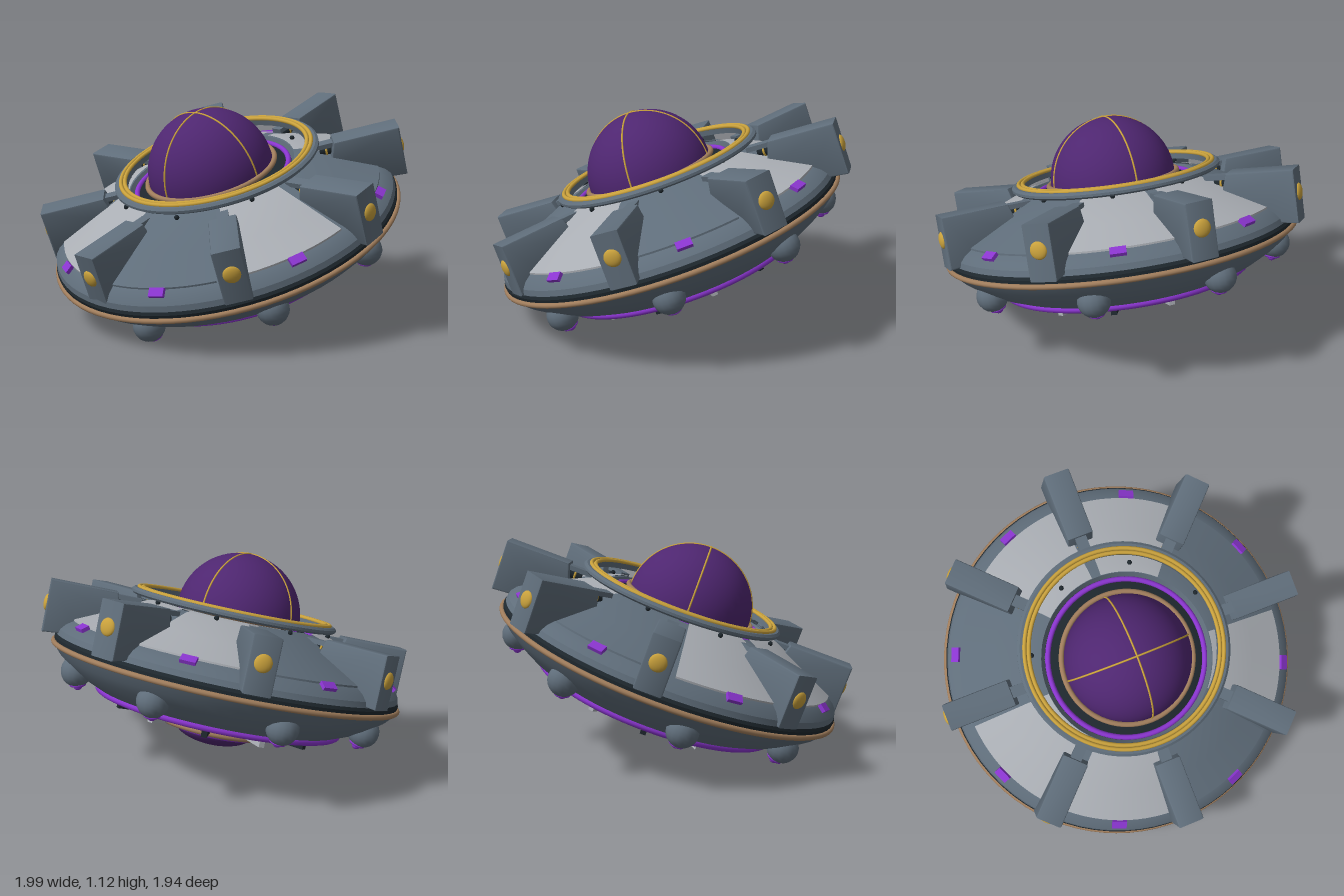
import * as THREE from 'three';
import { toCreasedNormals } from 'three/addons/utils/BufferGeometryUtils.js';

const mat = (name, color) => {
  const m = new THREE.MeshStandardMaterial({ color });
  m.name = name;
  return m;
};

export function createModel() {
  const slate = mat('slate grey', 0x5f6d7a);
  const light = mat('light grey', 0xa9adb3);
  const dark = mat('near black', 0x1e272d);
  const violet = mat('bright violet', 0x8a35cf);
  const plum = mat('dark plum', 0x4e2670);
  const gold = mat('gold', 0xc9a13c);
  const tan = mat('tan copper', 0xa07d5c);

  const model = new THREE.Group();
  model.name = 'saucer';
  const ship = new THREE.Group();
  ship.name = 'tiltedShip';
  ship.position.set(0, 0.464, -0.008);
  ship.rotation.x = THREE.MathUtils.degToRad(20);
  model.add(ship);

  const add = (name, geo, material, parent = ship) => {
    const m = new THREE.Mesh(geo, material);
    m.name = name;
    parent.add(m);
    return m;
  };
  // profile points are [radius, height], from the bottom centre outwards and up
  const lathe = (name, pts, material, parent = ship, seg = 72, start = 0, len = Math.PI * 2) =>
    add(name, toCreasedNormals(new THREE.LatheGeometry(
      pts.map(p => new THREE.Vector2(p[0], p[1])), seg, start, len), 0.4), material, parent);
  const ring = (name, R, tube, h, material, parent = ship) => {
    const m = add(name, new THREE.TorusGeometry(R, tube, 10, 80), material, parent);
    m.rotation.x = Math.PI / 2;
    m.position.y = h;
    return m;
  };
  // group whose +x axis points outwards at angle a, measured from the front
  const spoke = (name, a, parent = ship) => {
    const g = new THREE.Group();
    g.name = name;
    g.rotation.y = a - Math.PI / 2;
    parent.add(g);
    return g;
  };
  const STEP = Math.PI / 4;

  // Hull
  lathe('lowerHull', [[0.38, -0.245], [0.5, -0.236], [0.66, -0.2], [0.76, -0.155],
    [0.84, -0.105], [0.9, -0.058], [0.94, -0.012], [0.94, 0.016]], slate);
  lathe('rimBand', [[0.94, 0.008], [0.943, 0.03], [0.93, 0.052]], dark);
  lathe('upperHull', [[0.937, 0.046], [0.93, 0.075], [0.905, 0.105], [0.868, 0.13],
    [0.69, 0.212], [0.5, 0.298], [0.45, 0.31], [0.43, 0.275], [0.40, 0.275]], slate);
  ring('rimTrim', 0.943, 0.014, 0, tan);

  // Deck panels, three of them slate and the rest light
  for (let k = 0; k < 8; k++) {
    const gap = 0.055;
    lathe('deckPanel', [[0.868, 0.128], [0.868, 0.139], [0.69, 0.221], [0.5, 0.307], [0.452, 0.318]],
      [0, 2, 5].includes(k) ? slate : light, ship, 12, k * STEP + gap, STEP - 2 * gap);
    const s = spoke('panelFittings', (k + 0.5) * STEP);
    const lamp = add('deckLamp', new THREE.BoxGeometry(0.045, 0.026, 0.078), violet, s);
    lamp.position.set(0.888, 0.124, 0);
    lamp.rotation.z = -0.6;
    add('deckStud', new THREE.SphereGeometry(0.013, 10, 8), dark, s).position.set(0.5, 0.315, 0);
  }

  // Cockpit dome
  lathe('cockpitDeck', [[0.43, 0.28], [0.4, 0.292], [0.33, 0.3]], dark);
  ring('cockpitGlowRing', 0.415, 0.014, 0.292, violet);
  ring('domeCollar', 0.347, 0.014, 0.325, tan);
  const dome = add('dome', new THREE.SphereGeometry(0.335, 48, 20, 0, Math.PI * 2, 0, Math.PI / 2), plum);
  dome.position.y = 0.322;
  for (const ry of [0, Math.PI / 2]) {
    const rib = add('domeRib', new THREE.TorusGeometry(0.335, 0.005, 8, 48, Math.PI), gold);
    rib.position.y = 0.322;
    rib.rotation.y = ry;
  }

  // Raised crown ring and arms, set slightly to the rear
  const crown = new THREE.Group();
  crown.name = 'crown';
  crown.position.z = -0.05;
  ship.add(crown);
  lathe('crownRing', [[0.49, 0.332], [0.545, 0.332], [0.558, 0.342], [0.558, 0.355], [0.545, 0.366],
    [0.49, 0.366], [0.49, 0.332]], slate, crown);
  ring('crownTrimOuter', 0.521, 0.011, 0.368, gold, crown);
  ring('crownTrimInner', 0.499, 0.011, 0.368, gold, crown);

  const b = 0.008;
  const armShape = new THREE.Shape([[0.98, 0.32], [0.63, 0.32], [0.59, 0.19], [0.78, 0.06], [0.98, 0.045]]
    .map(p => new THREE.Vector2(p[0], p[1])));
  const armGeo = toCreasedNormals(new THREE.ExtrudeGeometry(armShape, {
    depth: 0.14 - 2 * b, bevelEnabled: true, bevelSize: b, bevelThickness: b, bevelOffset: -b, bevelSegments: 2,
  }).translate(0, 0, -0.07 + b), 0.5);
  for (let k = 0; k < 8; k++) {
    const s = spoke('arm', k * STEP, crown);
    add('armBody', armGeo, slate, s);
    const lamp = add('armLamp', new THREE.SphereGeometry(0.044, 20, 14), gold, s);
    lamp.scale.x = 0.42;
    lamp.position.set(0.978, 0.195, 0);
    add('armStrut', new THREE.BoxGeometry(0.16, 0.025, 0.06), slate, s).position.set(0.58, 0.295, 0);
    const joint = add('armJoint', new THREE.CylinderGeometry(0.024, 0.024, 0.1, 16), dark, s);
    joint.rotation.z = Math.PI / 2;
    joint.position.set(0.6, 0.262, 0);
    const cuff = add('armJointCuff', new THREE.TorusGeometry(0.024, 0.006, 8, 20), gold, s);
    cuff.rotation.y = Math.PI / 2;
    cuff.position.set(0.585, 0.262, 0);
  }

  // Landing bulbs under the hull
  for (let k = 0; k < 8; k++) {
    const s = spoke('landingBulb', THREE.MathUtils.degToRad(12) + k * STEP);
    add('bulb', new THREE.SphereGeometry(0.082, 16, 12), slate, s).position.set(0.82, -0.115, 0);
    const nub = new THREE.Group();
    nub.name = 'bulbLamp';
    nub.position.set(0.8, -0.184, 0);
    nub.rotation.z = -0.28;
    s.add(nub);
    ring('bulbLampRing', 0.034, 0.009, 0, violet, nub);
    add('bulbLampTip', new THREE.SphereGeometry(0.024, 14, 10), violet, nub).position.y = -0.006;
  }

  // Underside engine
  ring('underGlowRing', 0.66, 0.02, -0.203, violet);
  lathe('engineDisc', [[0, -0.29], [0.3, -0.29], [0.36, -0.268], [0.42, -0.24]], dark);
  ring('engineCollar', 0.31, 0.016, -0.293, tan);
  ring('engineGlowRing', 0.232, 0.018, -0.312, violet);
  const lens = add('engineLens', new THREE.SphereGeometry(0.22, 32, 20), plum);
  lens.scale.y = 0.42;
  lens.position.y = -0.306;
  for (let k = 0; k < 12; k++) {
    const s = spoke('engineFin', k * Math.PI / 6);
    const fin = add('fin', new THREE.BoxGeometry(0.2, 0.032, 0.03), k % 2 ? dark : light, s);
    fin.position.set(0.475, -0.254, 0);
  }

  return model;
}
